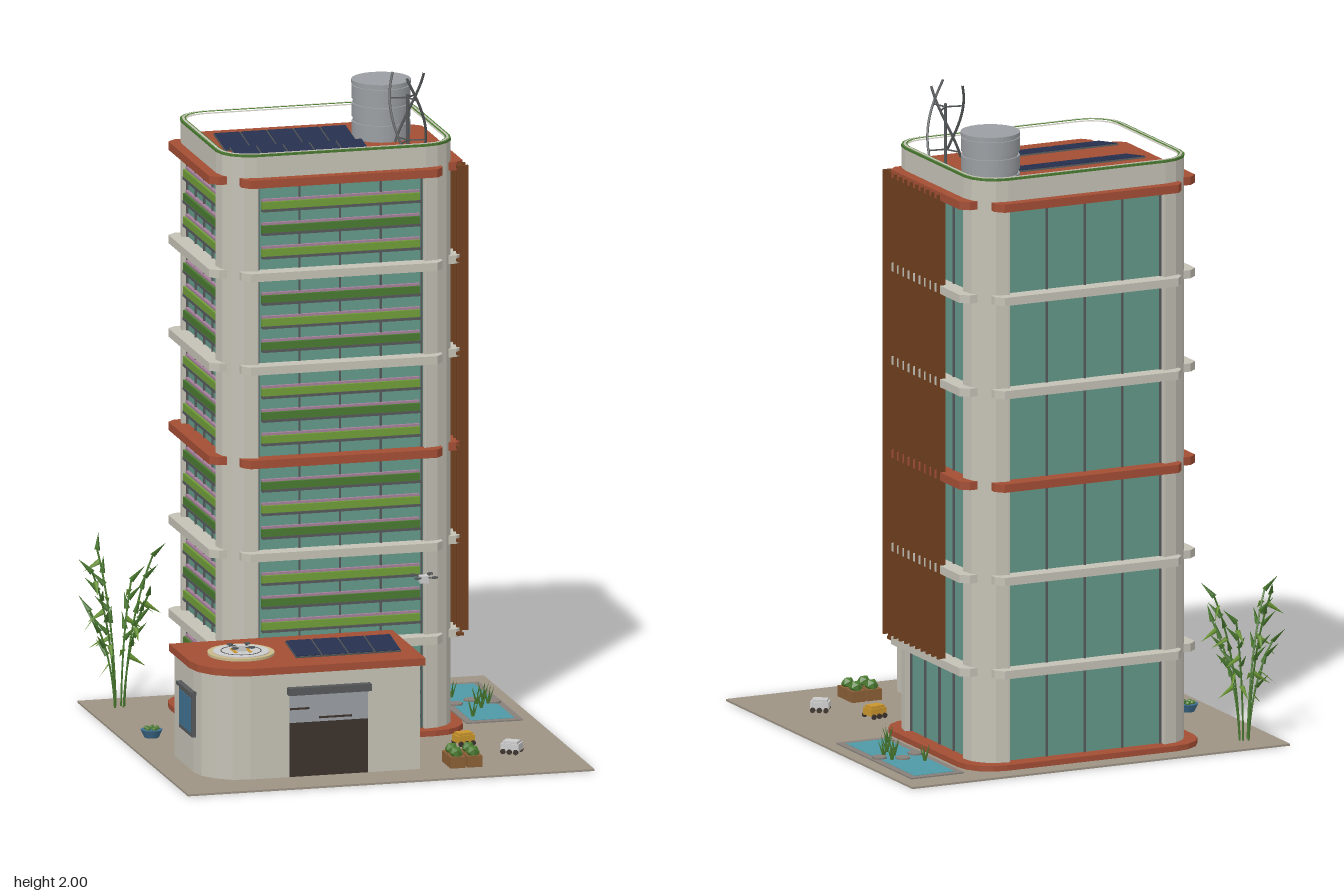
import * as THREE from 'three';

const C = {
  wall: 0xc4c1b5, red: 0xa34e34, glass: 0x64988a, ground: 0x9c9384, dark: 0x3c322c, steel: 0x9a9ea2,
  leaf: 0x4a7a30, lime: 0x6f9c38, pink: 0xa5809a, fin: 0x70401f, solar: 0x26304f, frame: 0x55585a,
  water: 0x4f98a6, stone: 0x87807a, wood: 0x8a5f36, yellow: 0xc9952c, white: 0xcccccc, blue: 0x3f6f90, tan: 0xc9b98a,
};
const mats = {};
const mat = (c) => (mats[c] ??= new THREE.MeshStandardMaterial({ color: C[c] }));

function add(parent, name, geo, color, x = 0, y = 0, z = 0) {
  const m = new THREE.Mesh(geo, mat(color));
  m.name = name;
  m.position.set(x, y, z);
  parent.add(m);
  return m;
}
function group(parent, name, x = 0, y = 0, z = 0) {
  const g = new THREE.Group();
  g.name = name;
  g.position.set(x, y, z);
  parent.add(g);
  return g;
}
const box = (w, h, d) => new THREE.BoxGeometry(w, h, d);
const cyl = (r, h, n = 24, r2 = r) => new THREE.CylinderGeometry(r, r2, h, n);

// Plan outline [x, z] raised from y0 by h
const plan = (shape, y0, h) => new THREE.ExtrudeGeometry(shape, { depth: h, bevelEnabled: false, curveSegments: 4 })
  .rotateX(-Math.PI / 2).translate(0, y0, 0);
const poly = (pts) => new THREE.Shape(pts.map(([x, z]) => new THREE.Vector2(x, -z)));
function arc(cx, cz, r, a0, a1, n = 4) {
  return Array.from({ length: n + 1 }, (_, i) => {
    const a = a0 + (a1 - a0) * i / n;
    return [cx + r * Math.cos(a), cz + r * Math.sin(a)];
  });
}
function roundRect(w, d, r) {
  const q = Math.PI / 2;
  return poly([[1, 1], [-1, 1], [-1, -1], [1, -1]].flatMap(([sx, sz], i) =>
    arc(sx * (w - r), sz * (d - r), r, i * q, (i + 1) * q)));
}
function ring(w, d, r, t) {
  const s = roundRect(w, d, r);
  s.holes.push(roundRect(w - t, d - t, r - t));
  return s;
}

const W = 0.36, D = 0.297, FLOOR = 0.2855;

function solarRow(parent, n, x0, step, y, z, depth) {
  for (let i = 0; i < n; i++) {
    const p = group(parent, 'solarPanel', x0 + (i + 0.5) * step, y, z);
    p.rotation.x = 0.16;
    add(p, 'panelFrame', box(step - 0.002, 0.005, depth), 'frame');
    add(p, 'panelCells', box(step - 0.006, 0.005, depth - 0.004), 'solar', 0, 0.002, 0);
  }
}

// Planter trays and glazing bars of one side; the side faces local +z
function facade(parent, name, angle, width, dist, planted) {
  const g = group(parent, name);
  g.rotation.y = angle;
  for (let i = 0; i <= 4; i++)
    add(g, 'mullion', box(0.005, 1.7, 0.008), 'frame', (i / 4 - 0.5) * (width - 0.006), 0.87, dist - 0.018);
  if (!planted) return;
  for (let f = 0; f < 6; f++) for (let r = 0; r < 3; r++) {
    const y = 0.012 + f * FLOOR + 0.066 + r * 0.072, w = width - 0.022;
    add(g, 'planterTray', box(w, 0.008, 0.024), 'frame', 0, y - 0.014, dist - 0.012);
    add(g, 'planterGreen', box(w, 0.024, 0.018), (r + f) % 2 ? 'lime' : 'leaf', 0, y, dist - 0.011);
    add(g, 'planterFlowers', box(w, 0.007, 0.01), 'pink', 0, y + 0.016, dist - 0.014);
  }
}

function tower(root) {
  const t = group(root, 'tower', 0.027, 0, -0.228);
  add(t, 'basePlate', plan(roundRect(W + 0.032, D + 0.032, 0.11), 0.003, 0.02), 'red');
  add(t, 'glassCore', plan(roundRect(W - 0.02, D - 0.02, 0.08), 0.02, 1.712), 'glass');
  add(t, 'roofDeck', plan(roundRect(W - 0.006, D - 0.006, 0.094), 1.732, 0.006), 'red');
  add(t, 'parapet', plan(ring(W, D, 0.1, 0.016), 1.715, 0.087), 'wall');
  add(t, 'parapetPlanting', plan(ring(W + 0.001, D + 0.001, 0.1, 0.018), 1.802, 0.007), 'leaf');
  add(t, 'parapetCap', plan(ring(W - 0.005, D - 0.005, 0.095, 0.007), 1.803, 0.0075), 'wall');
  // Rounded corner piers
  for (const sx of [-1, 1]) for (const sz of [-1, 1]) {
    const pts = [[W - 0.104, D - 0.104], [W, D - 0.104], ...arc(W - 0.1, D - 0.1, 0.1, 0, Math.PI / 2), [W - 0.104, D]];
    add(t, 'cornerPier', plan(poly(pts.map(([x, z]) => [x * sx, z * sz])), 0.02, 1.7), 'wall');
  }
  // Projecting ledges with splayed ends on every side
  for (let f = 1; f <= 6; f++) for (let s = 0; s < 4; s++) {
    const [len, dist] = s % 2 ? [D - 0.045, D + (W - D)] : [W - 0.05, D];
    const shape = poly([[-len, dist - 0.03], [-len, dist + 0.006], [-len + 0.022, dist + 0.031],
      [len - 0.022, dist + 0.031], [len, dist + 0.006], [len, dist - 0.03]]);
    add(t, 'floorLedge', plan(shape, f * FLOOR, 0.025), f % 3 ? 'wall' : 'red').rotation.y = s * Math.PI / 2;
  }
  facade(t, 'frontFacade', 0, 0.508, D, true);
  facade(t, 'leftFacade', -Math.PI / 2, 0.388, W, true);
  facade(t, 'backFacade', Math.PI, 0.508, D, false);
  facade(t, 'rightFacade', Math.PI / 2, 0.388, W, false);
  // Sun-shading fins
  for (let i = 0; i < 11; i++) add(t, 'shadeFin', box(0.026, 1.42, 0.008), 'fin', 0.386, 1.02, 0.265 - i * 0.0362);
  for (let f = 1; f <= 6; f++) add(t, 'finRail', box(0.02, 0.008, 0.37), 'fin', 0.375, f * FLOOR + 0.012, 0.084);
}

function roofGear(root) {
  solarRow(root, 5, -0.256, 0.082, 1.768, -0.283, 0.13);
  solarRow(root, 5, -0.256, 0.082, 1.768, -0.1, 0.13);
  // Ribbed water tank
  const tank = group(root, 'waterTank', 0.264, 1.735, -0.355);
  add(tank, 'tankBody', cyl(0.083, 0.176), 'steel', 0, 0.088, 0);
  for (let i = 0; i < 3; i++) add(tank, 'tankRib', cyl(0.088, 0.042), 'steel', 0, 0.033 + i * 0.055, 0);
  add(tank, 'tankLid', cyl(0.089, 0.012), 'steel', 0, 0.174, 0);
  // Helical wind turbine
  const tb = group(root, 'windTurbine', 0.265, 1.735, -0.056);
  add(tb, 'turbineMast', cyl(0.005, 0.2, 8), 'frame', 0, 0.1, 0);
  for (let k = 0; k < 3; k++) {
    const pts = Array.from({ length: 9 }, (_, i) => {
      const a = k * 2.094 + i / 8 * 1.9, r = 0.054;
      return new THREE.Vector3(r * Math.cos(a), 0.045 + i * 0.027, r * Math.sin(a));
    });
    const blade = new THREE.TubeGeometry(new THREE.CatmullRomCurve3(pts), 20, 0.004, 6);
    add(tb, 'turbineBlade', blade, 'frame');
    for (const y of [0.06, 0.19]) {
      const a = -(k * 2.094 + (y - 0.045) / 0.216 * 1.9);
      add(tb, 'turbineArm', box(0.054, 0.004, 0.004).translate(0.027, 0, 0), 'frame', 0, y, 0).rotation.y = a;
    }
  }
}

function drone(root, x, y, z) {
  const g = group(root, 'drone', x, y, z);
  add(g, 'droneBody', box(0.026, 0.022, 0.026), 'white');
  for (let i = 0; i < 4; i++) {
    const a = Math.PI / 4 + i * Math.PI / 2;
    add(g, 'droneArm', box(0.04, 0.003, 0.004).translate(0.02, 0, 0), 'frame', 0, 0.006, 0).rotation.y = a;
    add(g, 'droneRotor', cyl(0.009, 0.004, 8), 'frame', 0.038 * Math.cos(a), 0.009, 0.038 * Math.sin(a));
  }
}

function annex(root) {
  const a = group(root, 'annex');
  const outline = (o) => poly([[-0.508 - o, 0.145 - o], [0.152 + o, 0.145 - o], [0.152 + o, 0.498 + o],
    ...arc(-0.37, 0.37, 0.138 + o, Math.PI / 2, Math.PI, 4).map(([x, z]) => [x, z - 0.01])]);
  add(a, 'annexWalls', plan(outline(0), 0.006, 0.32), 'wall');
  add(a, 'annexRoof', plan(outline(0.014), 0.325, 0.022), 'red');
  // Entrance with transom and canopy
  add(a, 'entranceDoor', box(0.24, 0.165, 0.008), 'dark', -0.13, 0.09, 0.5);
  add(a, 'entranceTransom', box(0.24, 0.085, 0.008), 'steel', -0.13, 0.215, 0.5);
  add(a, 'transomBar', box(0.06, 0.006, 0.012), 'dark', -0.22, 0.215, 0.5);
  add(a, 'transomBar', box(0.1, 0.006, 0.012), 'dark', -0.11, 0.185, 0.5);
  add(a, 'entranceCanopy', box(0.255, 0.022, 0.03), 'frame', -0.13, 0.27, 0.506);
  // Side window
  add(a, 'windowFrame', box(0.014, 0.13, 0.15), 'frame', -0.51, 0.18, 0.3);
  for (const s of [-1, 1]) add(a, 'windowPane', box(0.014, 0.105, 0.06), 'blue', -0.512, 0.18, 0.3 + s * 0.034);
  add(a, 'windowHood', box(0.025, 0.01, 0.16), 'frame', -0.512, 0.25, 0.3);
  solarRow(a, 4, -0.214, 0.0815, 0.365, 0.373, 0.126);
  // Landing pad
  const pad = group(a, 'landingPad', -0.35, 0.347, 0.315);
  add(pad, 'padBase', cyl(0.1, 0.008, 32), 'tan', 0, 0.004, 0);
  add(pad, 'padDisc', cyl(0.084, 0.003, 32), 'white', 0, 0.009, 0);
  add(pad, 'padRing', new THREE.TorusGeometry(0.06, 0.002, 6, 32).rotateX(Math.PI / 2), 'frame', 0, 0.01, 0);
  for (const s of [-1, 1]) add(pad, 'padMark', box(0.01, 0.002, 0.06), 'yellow', s * 0.022, 0.011, 0);
  drone(a, -0.35, 0.363, 0.315);
}

function cart(root, color, x, z, turn) {
  const g = group(root, 'deliveryCart', x, 0.006, z);
  g.rotation.y = turn;
  add(g, 'cartBody', box(0.056, 0.022, 0.042), color, 0, 0.021, 0);
  add(g, 'cartLid', box(0.046, 0.008, 0.034), color, 0, 0.035, 0);
  for (const sx of [-1, 0, 1]) for (const sz of [-1, 1])
    add(g, 'cartWheel', cyl(0.008, 0.006, 10).rotateX(Math.PI / 2), 'dark', sx * 0.02, 0.008, sz * 0.023);
}

function garden(root) {
  add(root, 'ground', box(1.253, 0.006, 1.255), 'ground', 0.0265, 0.003, 0.0075);
  // Pool with stepping stones and reeds
  const pool = group(root, 'pool', 0.525, 0.006, -0.278);
  add(pool, 'poolRim', box(0.175, 0.004, 0.505), 'stone', 0, 0.002, 0);
  add(pool, 'poolWater', box(0.133, 0.004, 0.46), 'water', 0, 0.003, 0);
  for (const [x, z] of [[-0.058, 0.018], [0, -0.018], [0.06, 0.018]])
    add(pool, 'steppingStone', cyl(0.023, 0.008, 8), 'stone', x, 0.006, z);
  for (const [x, z] of [[-0.045, -0.075], [0.037, -0.02], [0.005, 0.03], [0.005, 0.08], [-0.048, 0.18], [0.04, 0.03]])
    for (let i = 0; i < 5; i++) {
      const reed = add(pool, 'reed', new THREE.ConeGeometry(0.004, 0.058, 4).translate(0, 0.029, 0), 'leaf', x, 0.003, z);
      reed.rotation.set(0.32 * Math.cos(i * 1.257), 0, 0.32 * Math.sin(i * 1.257));
    }
  // Raised vegetable beds
  for (const x of [0.264, 0.316]) for (const z of [0.444, 0.496]) {
    add(root, 'bedBox', box(0.046, 0.034, 0.046), 'wood', x, 0.023, z);
    add(root, 'bedPlant', new THREE.IcosahedronGeometry(0.021, 0), 'leaf', x, 0.048, z);
  }
  // Round pot
  add(root, 'pot', cyl(0.033, 0.024, 14, 0.022), 'blue', -0.51, 0.018, -0.11);
  for (let i = 0; i < 5; i++)
    add(root, 'potPlant', new THREE.IcosahedronGeometry(0.009, 0), 'leaf', -0.51 + 0.016 * Math.cos(i * 1.257), 0.032, -0.11 + 0.016 * Math.sin(i * 1.257));
  cart(root, 'yellow', 0.36, 0.228, 0.2);
  cart(root, 'white', 0.47, 0.37, -0.6);
}

// Clump of arching bamboo
function bamboo(root) {
  const g = group(root, 'bamboo', -0.5, 0.005, -0.515);
  const stems = [[-0.045, -0.09, 0.47], [0.11, -0.015, 0.46], [-0.105, 0.075, 0.44], [0.07, 0.08, 0.36], [-0.09, -0.01, 0.3], [0.05, -0.045, 0.38]];
  const leafGeo = new THREE.ConeGeometry(0.009, 0.06, 4).scale(1, 1, 0.25).translate(0, 0.03, 0);
  const up = new THREE.Vector3(0, 1, 0);
  for (const [x, z, h] of stems) {
    const curve = new THREE.QuadraticBezierCurve3(new THREE.Vector3(x * 0.15, 0, z * 0.15),
      new THREE.Vector3(x * 0.25, h * 0.6, z * 0.25), new THREE.Vector3(x, h, z));
    add(g, 'bambooStem', new THREE.TubeGeometry(curve, 10, 0.003, 5), 'leaf');
    for (let i = 0; i < 8; i++) {
      const p = curve.getPoint(0.4 + i * 0.083), side = i % 2 ? 1 : -1, a = Math.atan2(z, x) + side * 0.8;
      const dir = new THREE.Vector3(Math.cos(a) * 0.6, i % 3 ? 0.6 : -0.4, Math.sin(a) * 0.6).normalize();
      const leaf = add(g, 'bambooLeaf', leafGeo, i % 3 ? 'leaf' : 'lime', p.x, p.y, p.z);
      leaf.quaternion.setFromUnitVectors(up, dir);
    }
  }
}

export function createModel() {
  const root = new THREE.Group();
  root.name = 'greenTower';
  garden(root);
  tower(root);
  roofGear(root);
  annex(root);
  drone(root, 0.215, 0.54, 0.31);
  bamboo(root);
  return root;
}
